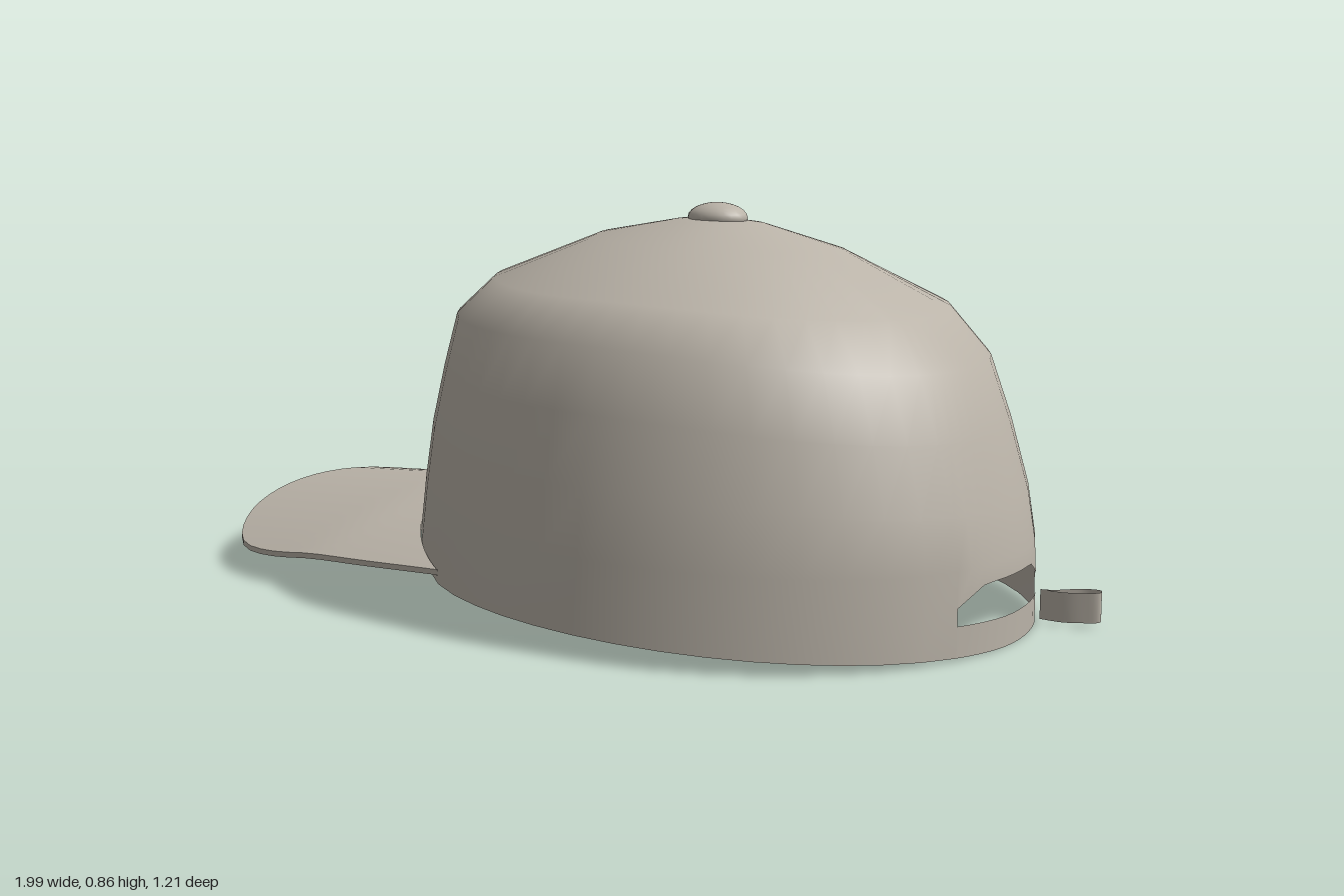
import * as THREE from 'three';
import { mergeGeometries, mergeVertices } from 'three/addons/utils/BufferGeometryUtils.js';

const CX = 0.18, CZ = -0.02; // crown axis
const BRIM_THICK = 0.012;
const GAP_START = -0.367, GAP_END = 0.226; // angles of the rear opening

// Crown profiles [radius, height], from the rim up to the button
const FRONT = [[0.68, 0.16], [0.667, 0.3], [0.65, 0.41], [0.628, 0.52], [0.6, 0.62], [0.51, 0.70], [0.28, 0.79], [0.1, 0.822], [0, 0.83]];
const BACK = [[0.735, 0.01], [0.733, 0.18], [0.715, 0.28], [0.67, 0.42], [0.62, 0.55], [0.53, 0.65], [0.29, 0.77], [0.12, 0.815], [0, 0.83]];
const LEFT = [[0.625, 0.05], [0.61, 0.2], [0.592, 0.34], [0.56, 0.48], [0.53, 0.61], [0.455, 0.69], [0.24, 0.78], [0.09, 0.82], [0, 0.83]];
const RIGHT = [[0.585, 0.01], [0.573, 0.18], [0.56, 0.3], [0.538, 0.44], [0.51, 0.56], [0.435, 0.66], [0.23, 0.76], [0.08, 0.818], [0, 0.83]];

// Surface from rows of points; faces look along (row step) x (column step)
function grid(rows) {
  const cols = rows[0].length, index = [];
  for (let i = 0; i < rows.length - 1; i++) {
    for (let j = 0; j < cols - 1; j++) {
      const a = i * cols + j, b = a + cols;
      index.push(a, b, a + 1, a + 1, b, b + 1);
    }
  }
  const geometry = new THREE.BufferGeometry().setFromPoints(rows.flat());
  geometry.setIndex(index);
  geometry.computeVertexNormals();
  return geometry;
}

// Weld several grids so their shading runs on smoothly
function weld(parts) {
  const merged = mergeGeometries(parts);
  merged.deleteAttribute('normal');
  const geometry = mergeVertices(merged, 1e-4);
  geometry.computeVertexNormals();
  return geometry;
}

const range = (a, b, n) => Array.from({ length: n + 1 }, (_, i) => a + (b - a) * i / n);

// Arched brim height
function brimY(x, z) {
  return Math.min(0.17, 0.125 + 0.09 * (x + 1)) + 0.089 * z - 0.417 * z * z;
}

// Tilted rim that rises to meet the brim in front
function rimY(x, z) {
  const plane = Math.max(0.002, 0.034 + 0.034 * z - 0.043 * (x - 0.2));
  const w = 1 - THREE.MathUtils.smoothstep(x, -0.3, -0.08);
  return THREE.MathUtils.lerp(plane, brimY(x, z) - BRIM_THICK, w);
}

// Point of the crown at a profile level and an angle (0 = back)
function crownPoint(level, t) {
  const c = Math.cos(t), s = Math.sin(t);
  const [rx, yx] = (c > 0 ? BACK : FRONT)[level];
  const [rz, yz] = (s > 0 ? LEFT : RIGHT)[level];
  const p = new THREE.Vector3(CX + rx * c, yx * c * c + yz * s * s, CZ + rz * s);
  if (level === 0) p.y = rimY(p.x, p.z);
  return p;
}

function crownGeometry() {
  const levels = FRONT.map((_, k) => k);
  const closed = levels.map(k => range(GAP_END, GAP_START + 2 * Math.PI, 44).map(t => crownPoint(k, t)));
  // Above the opening the lower edge is an arch
  const open = levels.map(k => range(GAP_START, GAP_END, 10).map((t, j) => {
    const p = crownPoint(k, t);
    if (k === 0) p.y = 0.108 + 0.038 * Math.min(1, 1.6 * Math.sin(Math.PI * j / 10));
    return p;
  }));
  return weld([closed, open].map(grid));
}

function brimGeometry() {
  const N = 48, STEPS = 8;
  const outline = [[-0.13, 0.535], [-0.4, 0.565], [-0.63, 0.58], [-0.74, 0.56], [-0.82, 0.505], [-0.91, 0.39],
    [-0.975, 0.22], [-1, 0], [-0.975, -0.16], [-0.91, -0.3], [-0.83, -0.395], [-0.73, -0.43], [-0.5, -0.46], [-0.2, -0.475]];
  const curve = new THREE.CatmullRomCurve3(outline.map(([x, z]) => new THREE.Vector3(x, 0, z)), false, 'centripetal');
  const outer = curve.getSpacedPoints(N);
  const inner = range(2.04, 4.1, N).map(t => crownPoint(0, t));
  const layer = drop => range(0, 1, STEPS).map(f => outer.map((o, j) => {
    const p = inner[j].clone().lerp(o, f);
    p.y = brimY(p.x, p.z) - drop;
    return p;
  }));
  const top = layer(0), bottom = layer(BRIM_THICK);
  const edge = [bottom[STEPS], top[STEPS]];
  return mergeGeometries([grid([...top].reverse()), grid(bottom), grid(edge)]);
}

// Upright band along a path of lower-edge points
const band = (path, height) => grid([path, path.map(p => p.clone().setY(p.y + height))]);

export function createModel() {
  const cap = new THREE.Group();
  cap.name = 'cap';
  const cloth = new THREE.MeshStandardMaterial({ color: 0xbab3a8, side: THREE.DoubleSide });
  cloth.name = 'warm grey cloth';

  const add = (name, geometry) => {
    const mesh = new THREE.Mesh(geometry, cloth);
    mesh.name = name;
    cap.add(mesh);
    return mesh;
  };

  add('crown', crownGeometry());
  add('brim', brimGeometry());

  // Button on top
  const button = add('topButton', new THREE.SphereGeometry(1, 24, 12));
  button.scale.set(0.07, 0.033, 0.057);
  button.position.set(CX, 0.827, CZ);

  // Adjusting strap below the opening
  add('rearStrap', band(range(GAP_START, GAP_END, 10).map(t => crownPoint(0, t)), 0.064));

  // Loose strap end folded into a loop
  const loop = new THREE.CatmullRomCurve3([[0.875, -0.235], [0.925, -0.24], [0.965, -0.257], [0.992, -0.275],
    [0.988, -0.288], [0.955, -0.282], [0.925, -0.262], [0.9, -0.243], [0.875, -0.235]]
    .map(([x, z]) => new THREE.Vector3(x, 0.01 - 0.1 * (z + 0.235), z)));
  add('strapLoop', band(loop.getPoints(32), 0.064));

  return cap;
}
